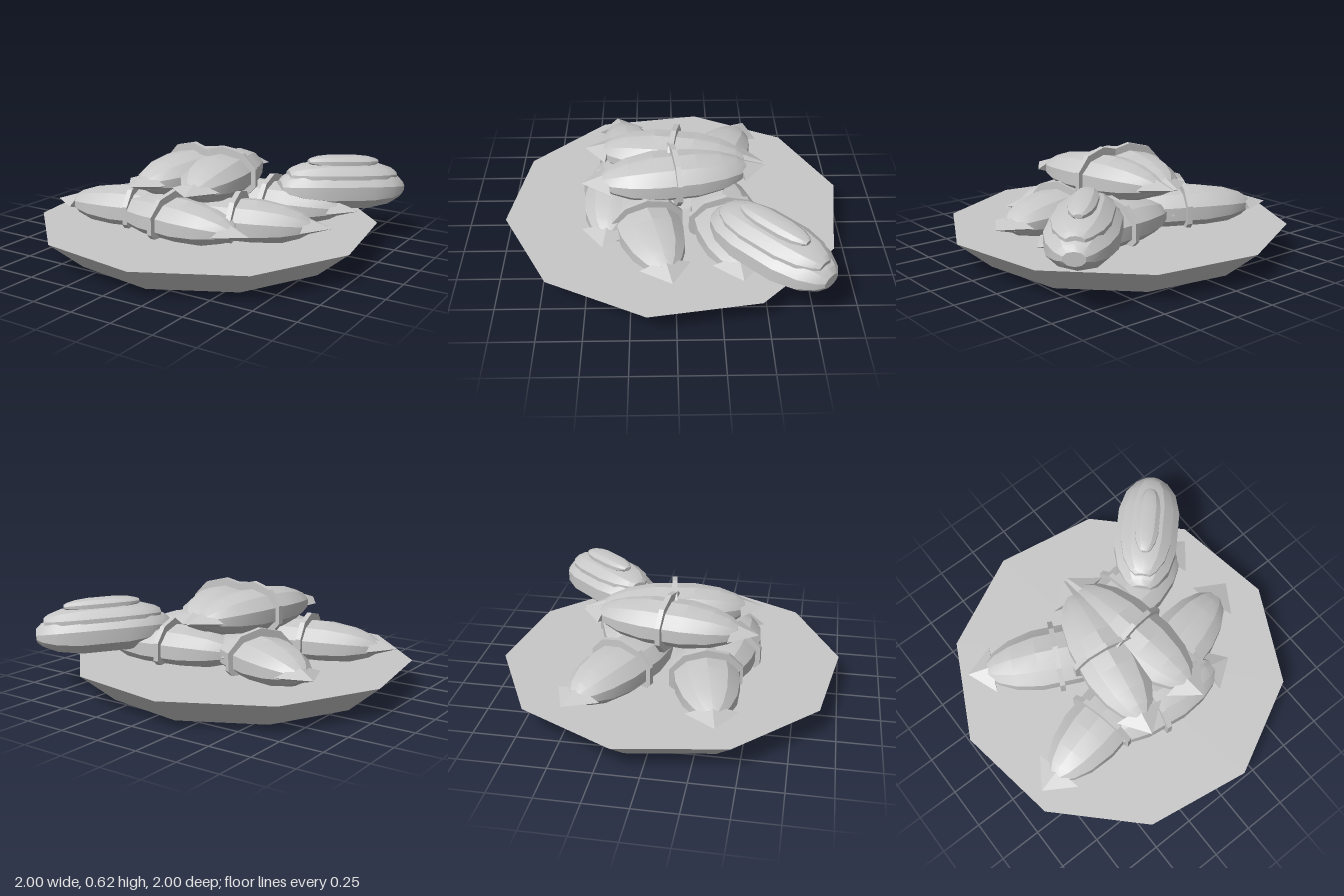
import * as THREE from 'three';
import { toCreasedNormals } from 'three/addons/utils/BufferGeometryUtils.js';

const SIDES = 10;
const gray = new THREE.MeshStandardMaterial({ color: 0xc8c8c8 });
gray.name = 'pale gray';

function mesh(name, geometry, parent) {
  const m = new THREE.Mesh(toCreasedNormals(geometry, 0.42), gray);
  m.name = name;
  parent.add(m);
  return m;
}

// Faceted pod along z: half-profile of [position, radius] pairs, mirrored end to end
function pod(half, width, height, length) {
  const ends = [...half].reverse().map(([t, r]) => new THREE.Vector2(r, -t));
  const starts = half.map(([t, r]) => new THREE.Vector2(r, t));
  return new THREE.LatheGeometry([...ends, ...starts], SIDES)
    .rotateX(Math.PI / 2).scale(width, height, length);
}

const WRAP = [[0.12, 1], [0.27, 0.82], [0.37, 0.55], [0.42, 0.3], [0.42, 0]];
const BLUNT = [[0.35, 1], [0.7, 0.82], [0.92, 0.52], [1, 0.3], [1, 0]];

// Wrapped bundle: body, tie round the middle and a pointed flap at both ends
function bundle(name, x, y, z, dx, dz) {
  const g = new THREE.Group();
  g.name = name;
  mesh('wrappedBody', pod(WRAP, 0.19, 0.125, 1), g);
  mesh('tie', new THREE.CylinderGeometry(1, 1, 0.03, SIDES)
    .rotateX(Math.PI / 2).scale(0.22, 0.17, 1), g);
  for (const end of [1, -1]) {
    const flap = mesh('endFlap', new THREE.CylinderGeometry(0, 1, 0.15, 4)
      .rotateX(Math.PI / 2).scale(0.145, 0.05, 1), g);
    flap.position.z = end * 0.465;
    if (end < 0) flap.rotation.y = Math.PI;
  }
  g.position.set(x, y, z);
  g.rotation.y = Math.atan2(dx, dz);
  return g;
}

export function createModel() {
  const model = new THREE.Group();
  model.name = 'platter';

  // Ten-sided flaring plate
  const plate = mesh('plate', new THREE.CylinderGeometry(1.01, 0.81, 0.165, SIDES, 1, false, Math.PI / 20), model);
  plate.position.y = 0.0825;

  // Lower ring of bundles: x, z and the heading of the outer end
  const ring = [
    ['frontRightBundle', -0.32, 0.25, -0.976, 0.217],
    ['backRightBundle', -0.29, -0.24, -0.9, -0.43],
    ['backLeftBundle', 0.28, -0.29, 0.99, -0.13],
    ['frontLeftBundle', 0.31, 0.16, 0.965, -0.26],
    ['frontBundle', -0.01, 0.33, 0.99, 0.14],
  ];
  for (const [name, x, z, dx, dz] of ring) model.add(bundle(name, x, 0.245, z, dx, dz));

  // Two bundles on top, spreading toward the front
  for (const s of [1, -1]) {
    model.add(bundle(s > 0 ? 'topLeftBundle' : 'topRightBundle', 0.01 + s * 0.1, 0.45, 0, s * 0.16, 0.987));
  }

  // Opened bundle resting on the rim: husk with two layers of filling
  const open = new THREE.Group();
  open.name = 'openBundle';
  mesh('openHusk', pod(BLUNT, 0.2, 0.13, 0.39), open);
  mesh('filling', pod(BLUNT, 0.16, 0.08, 0.34), open).position.y = 0.075;
  mesh('topping', pod(BLUNT, 0.075, 0.04, 0.22), open).position.y = 0.155;
  open.position.set(0.63, 0.335, -0.52);
  open.rotation.order = 'YXZ';
  open.rotation.y = Math.atan2(0.69, -0.72);
  open.rotation.x = 0.05;
  model.add(open);

  return model;
}
